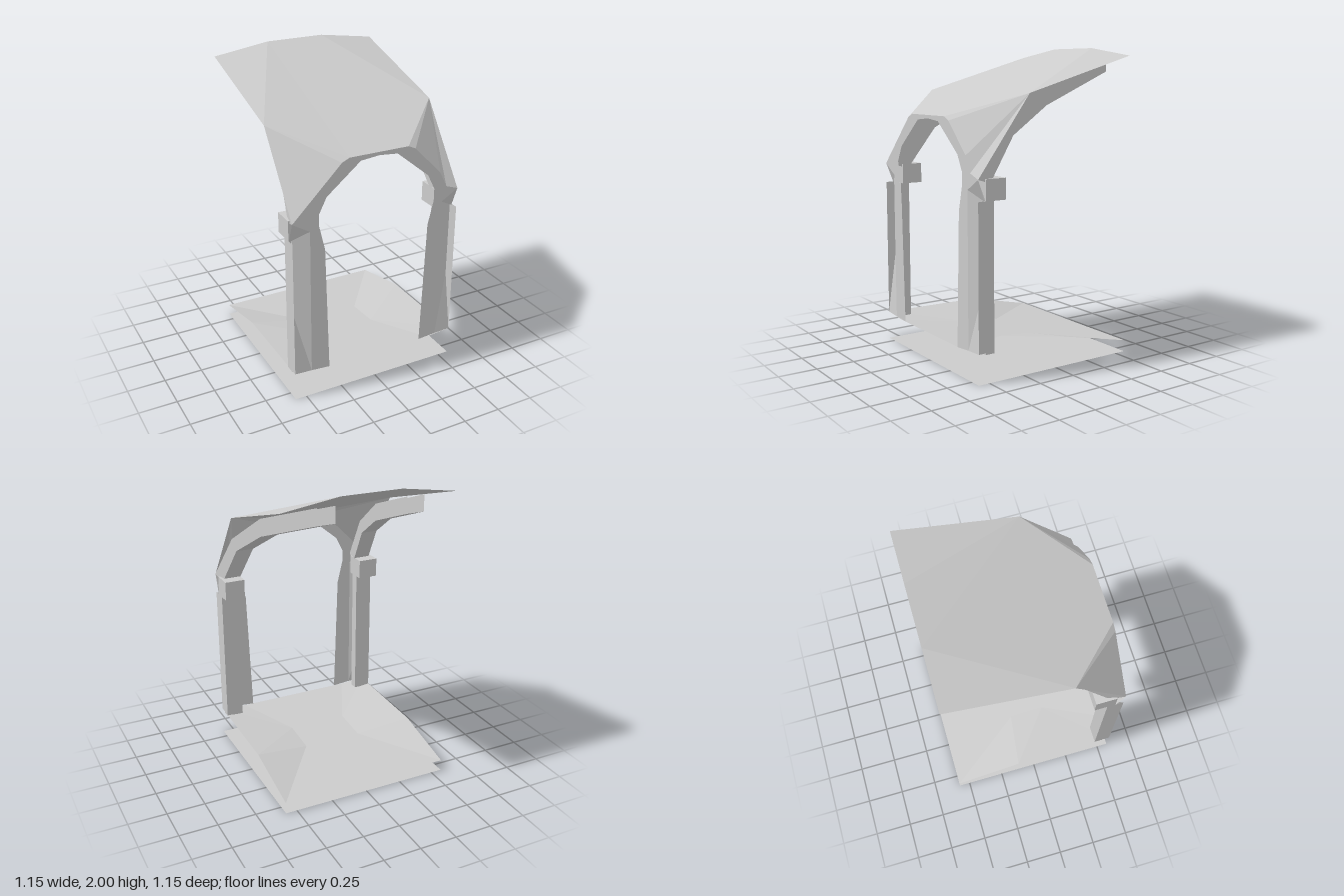
import * as THREE from 'three';

const H = 0.575; // half width and half depth of the tile
const material = new THREE.MeshStandardMaterial({
  color: 0xcccccc, flatShading: true, side: THREE.DoubleSide,
});

function addMesh(parent, name, geometry) {
  const mesh = new THREE.Mesh(geometry, material);
  mesh.name = name;
  parent.add(mesh);
  return mesh;
}

// Faceted sheet made of convex polygons, each a list of [x, y, z] corners
function sheet(polygons) {
  const positions = [];
  for (const p of polygons) {
    for (let i = 1; i < p.length - 1; i++) positions.push(...p[0], ...p[i], ...p[i + 1]);
  }
  const g = new THREE.BufferGeometry();
  g.setAttribute('position', new THREE.Float32BufferAttribute(positions, 3));
  g.computeVertexNormals();
  return g;
}

// Mirror a polygon across x, reversing it so it keeps facing the same way
const mirror = (polygon) => polygon.map(([x, y, z]) => [-x, y, z]).reverse();
const bothSides = (polygons) => [...polygons, ...polygons.map(mirror)];

function box(x0, x1, y0, y1, z0, z1) {
  return new THREE.BoxGeometry(x1 - x0, y1 - y0, z1 - z0)
    .translate((x0 + x1) / 2, (y0 + y1) / 2, (z0 + z1) / 2);
}

// Floor: sloping middle strip with raised sides
function floorGeometry() {
  const front = [0.4, 0.175, H], corner = [H, 0.19, H];
  const a = [0.2, 0.14, 0.17], b = [0.2, 0.119, -0.07];
  const back = [0.2, 0.075, -H], backCorner = [H, 0.075, -H], ridge = [H, 0.178, -0.12];
  const m = ([x, y, z]) => [-x, y, z];
  return sheet([
    [m(front), front, a, m(a)],
    [m(a), a, b, m(b)],
    [m(b), b, back, m(back)],
    ...bothSides([
      [front, corner, a],
      [corner, ridge, a],
      [a, ridge, b],
      [b, ridge, backCorner],
      [b, backCorner, back],
    ]),
  ]);
}

// Roof: flat crown, drooping back corners and fans down to the front corners
function roofGeometry() {
  const crown = [
    [-0.2, 2, -H], [-H, 1.72, 0.21], [-0.2, 1.578, H],
    [0.2, 1.578, H], [H, 1.72, 0.21], [0.2, 2, -H],
  ];
  const shoulder = [H, 1.72, 0.21];
  const backCorner = [shoulder, [H, 1.945, -H], [0.2, 2, -H]];
  const fan = (edge) => edge.slice(1).map((p, i) => [shoulder, [...edge[i], H], [...p, H]]);
  const leftFan = fan([[0.2, 1.578], [0.25, 1.555], [0.44, 1.36], [0.49, 1.26], [H, 1.23]]);
  const rightFan = fan([[0.2, 1.578], [0.25, 1.555], [H, 1.23]]).map(mirror);
  return sheet([crown, ...bothSides([backCorner]), ...leftFan, ...rightFan]);
}

// Flat arch at the front, with a notch in each outer edge
function archGeometry() {
  const outer = [
    [-0.46, 0.185], [-0.46, 1.02], [-0.46, 1.16], [-H, 1.23], [-0.25, 1.555], [-0.2, 1.578],
    [0.2, 1.578], [0.25, 1.555], [0.44, 1.36], [0.49, 1.26], [H, 1.23],
    [0.46, 1.16], [0.46, 1.02], [0.46, 0.185],
  ];
  const half = [[0.335, 0.175], [0.362, 1.02], [0.4, 1.18], [0.4, 1.26], [0.35, 1.36], [0.125, 1.545]];
  const inner = [...half, [0, 1.557], ...half.map(([x, y]) => [-x, y]).reverse()];
  const points = [...outer, ...inner].map(([x, y]) => new THREE.Vector2(x, y));
  return new THREE.ShapeGeometry(new THREE.Shape(points)).translate(0, 0, H);
}

// Post facing: recessed front, thin outer strip and the notch below the roof corner
function facingGeometry() {
  const notch = [0.46, 1.16, H], top = [0.46, 1.02, H];
  const inTop = [0.56, 1.1, 0.525], inMid = [0.56, 0.6, 0.525];
  const footIn = [0.46, 0.185, H], footOut = [0.565, 0.19, H];
  return sheet([
    [[H, 1.23, H], notch, inTop],
    [[H, 1.23, H], inTop, [H, 1.1, 0.525]],
    [notch, top, inTop],
    [top, footIn, inMid],
    [top, inMid, inTop],
    [footIn, footOut, inMid],
    [inTop, inMid, [H, 0.6, H], [H, 1.1, H]],
    [inMid, footOut, [H, 0.19, H], [H, 0.6, H]],
    [[H, 0.19, H], [H, 0.19, 0.465], [H, 1.1, 0.465], [H, 1.1, H]],
  ]);
}

// Rib: open channel that climbs to the back and leans towards the middle
function ribGeometry() {
  const upper = [[H, 1.23], [0.34, 1.54], [0, 1.755], [-H, 1.95]];
  const lower = [[0.48, 1.2], [0.29, 1.47], [0, 1.64], [-H, 1.845]];
  const place = (side) => ([z, y]) => [0.405 + 0.197 * z + side * 0.058, y, z];
  const rows = upper.map((u, i) => [
    place(-1)(u), place(-1)(lower[i]), place(1)(lower[i]), place(1)(u),
  ]);
  const polygons = [];
  for (let i = 0; i < 3; i++) {
    for (let j = 0; j < 3; j++) {
      polygons.push([rows[i][j], rows[i + 1][j], rows[i + 1][j + 1], rows[i][j + 1]]);
    }
  }
  return sheet(polygons);
}

export function createModel() {
  const model = new THREE.Group();
  model.name = 'archedTile';

  addMesh(model, 'base', new THREE.PlaneGeometry(2 * H, 2 * H).rotateX(-Math.PI / 2));
  addMesh(model, 'floor', floorGeometry());
  addMesh(model, 'roof', roofGeometry());
  addMesh(model, 'frontArch', archGeometry());

  // Supports on both sides
  for (const [name, side] of [['left', 1], ['right', -1]]) {
    const support = new THREE.Group();
    support.name = name + 'Support';
    support.scale.x = side;
    addMesh(support, 'post', box(0.46, H, 0.18, 1.1, 0.465, 0.525));
    addMesh(support, 'postFacing', facingGeometry());
    addMesh(support, 'capital', box(0.44, H, 1.1, 1.23, 0.38, 0.52));
    addMesh(support, 'roofRib', ribGeometry());
    model.add(support);
  }
  return model;
}
